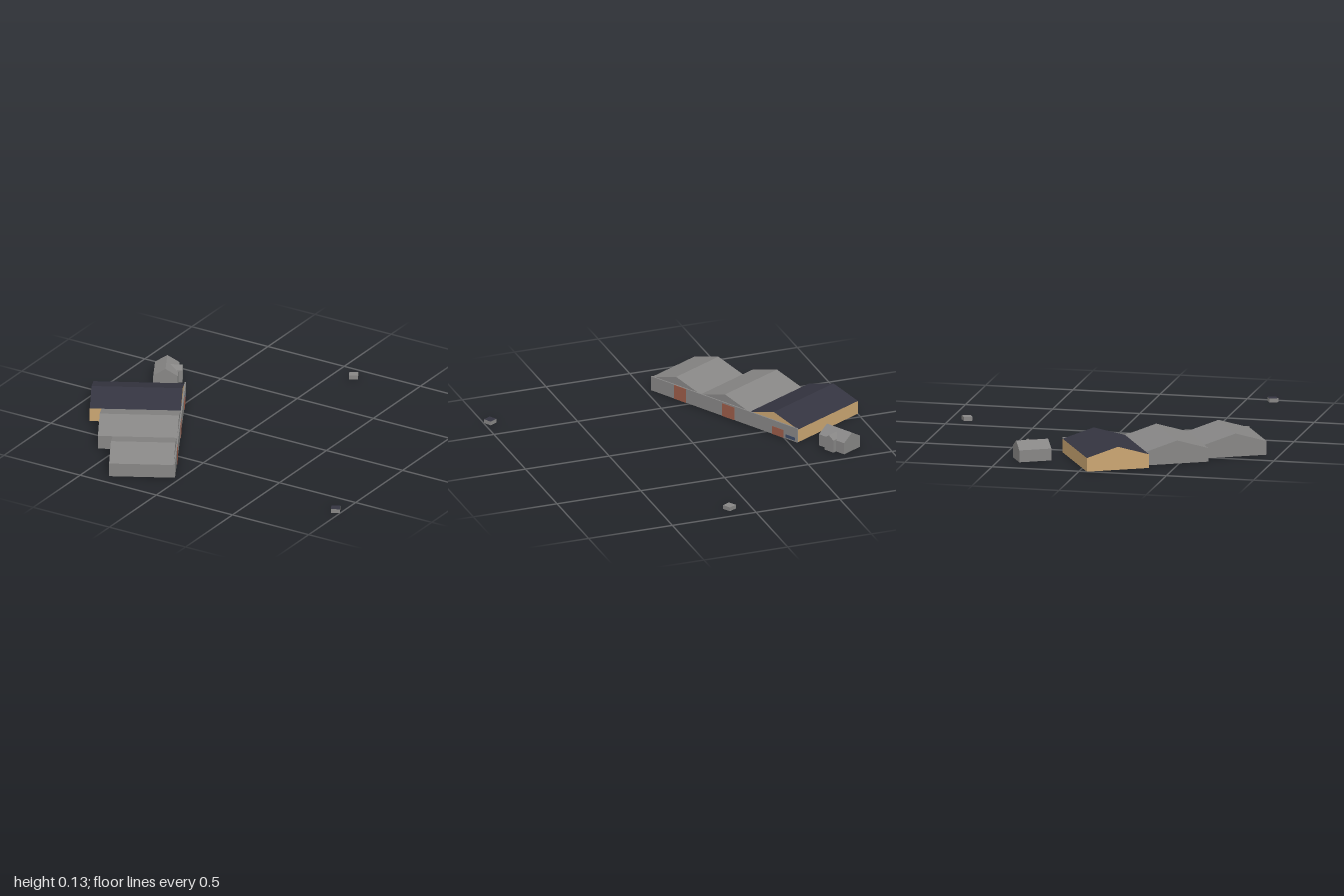
import * as THREE from 'three';
import { mergeGeometries } from 'three/addons/utils/BufferGeometryUtils.js';

const mat = (name, color) => {
  const m = new THREE.MeshStandardMaterial({ color, side: THREE.DoubleSide });
  m.name = name;
  return m;
};

// Flat four-cornered face
function quad(a, b, c, d) {
  const g = new THREE.BufferGeometry();
  g.setAttribute('position', new THREE.Float32BufferAttribute([...a, ...b, ...c, ...a, ...c, ...d], 3));
  g.computeVertexNormals();
  return g;
}

function addMesh(parent, name, geometry, material) {
  const mesh = new THREE.Mesh(geometry, material);
  mesh.name = name;
  parent.add(mesh);
  return mesh;
}

// Open-bottomed building with its ridge along local z
function gabledBuilding(name, width, length, eave, ridge, wallMat, roofMat) {
  const group = new THREE.Group();
  group.name = name;
  const w = width / 2, l = length / 2;
  const gable = new THREE.Shape([
    new THREE.Vector2(-w, 0), new THREE.Vector2(w, 0), new THREE.Vector2(w, eave),
    new THREE.Vector2(0, ridge), new THREE.Vector2(-w, eave),
  ]);
  const end = () => {
    const g = new THREE.ShapeGeometry(gable).toNonIndexed();
    g.deleteAttribute('uv');
    return g.translate(0, 0, l);
  };
  const side = () => quad([w, 0, l], [w, 0, -l], [w, eave, -l], [w, eave, l]);
  const slope = () => quad([w, eave, l], [w, eave, -l], [0, ridge, -l], [0, ridge, l]);
  addMesh(group, 'walls', mergeGeometries([end(), end().rotateY(Math.PI), side(), side().rotateY(Math.PI)]), wallMat);
  addMesh(group, 'roof', mergeGeometries([slope(), slope().rotateY(Math.PI)]), roofMat);
  return group;
}

// Open-bottomed flat-roofed hut
function hut(name, x, z, size, height, angle, wallMat, roofMat) {
  const group = new THREE.Group();
  group.name = name;
  const s = size / 2;
  const walls = [0, 1, 2, 3].map((i) =>
    quad([-s, 0, s], [s, 0, s], [s, height, s], [-s, height, s]).rotateY(i * Math.PI / 2));
  addMesh(group, 'hutWalls', mergeGeometries(walls), wallMat);
  addMesh(group, 'hutRoof', quad([-s, height, s], [s, height, s], [s, height, -s], [-s, height, -s]), roofMat);
  group.position.set(x, 0, z);
  group.rotation.y = angle;
  return group;
}

export function createModel() {
  const grey = mat('greyCladding', 0x878685);
  const tan = mat('tanCladding', 0xcba672);
  const navy = mat('darkRoofing', 0x343440);
  const brick = mat('redBrick', 0x9a5b48);
  const glass = mat('blueGlass', 0x3c4a66);

  const model = new THREE.Group();
  model.name = 'industrialEstate';
  const angle = 0.496;

  // Turned site: local z runs along the row of halls, local x faces the facade
  const site = new THREE.Group();
  site.name = 'hallRow';
  site.position.set(-0.55, 0, -0.2);
  site.rotation.y = angle;
  model.add(site);

  // Three stepped halls with ridges across the row
  const bay = 0.361;
  [
    { name: 'tanHall', depth: 0.51, wall: tan, roof: navy },
    { name: 'middleHall', depth: 0.444, wall: grey, roof: grey },
    { name: 'endHall', depth: 0.361, wall: grey, roof: grey },
  ].forEach(({ name, depth, wall, roof }, i) => {
    const hall = gabledBuilding(name, bay, depth, 0.078, 0.132, wall, roof);
    hall.rotation.y = Math.PI / 2;
    hall.position.set(-depth / 2 - 0.004, 0, bay * (i + 0.5));
    site.add(hall);
  });

  // Long parapet wall across the gable ends
  const facade = addMesh(site, 'facade', new THREE.BoxGeometry(0.008, 0.085, bay * 3), grey);
  facade.position.set(0, 0.0425, bay * 1.5);

  // Thin facade panels: start, end, bottom, top
  const panel = (name, z0, z1, y0, y1, material) => {
    const p = addMesh(site, name, new THREE.BoxGeometry(0.003, y1 - y0, z1 - z0), material);
    p.position.set(0.005, (y0 + y1) / 2, (z0 + z1) / 2);
  };
  panel('brickPanelEnd', 0.822, 0.91, 0, 0.084, brick);
  panel('brickPanelMiddle', 0.465, 0.553, 0, 0.077, brick);
  panel('brickPanelFirst', 0.1, 0.186, 0, 0.048, brick);
  panel('entranceWindow', 0.015, 0.085, 0.008, 0.026, glass);

  // Small house behind the halls, with a gabled porch
  const house = gabledBuilding('smallHouse', 0.137, 0.186, 0.068, 0.11, grey, grey);
  house.position.set(-0.117, 0, -0.208);
  site.add(house);
  const porch = gabledBuilding('porch', 0.067, 0.067, 0.074, 0.097, grey, grey);
  porch.rotation.y = Math.PI / 2;
  porch.position.set(-0.0595, 0, -0.208);
  site.add(porch);

  // Outlying huts
  model.add(hut('greyHut', 0.122, -0.902, 0.05, 0.023, angle, grey, grey));
  model.add(hut('darkRoofHut', 0.964, 0.655, 0.05, 0.023, angle, grey, navy));

  return model;
}
